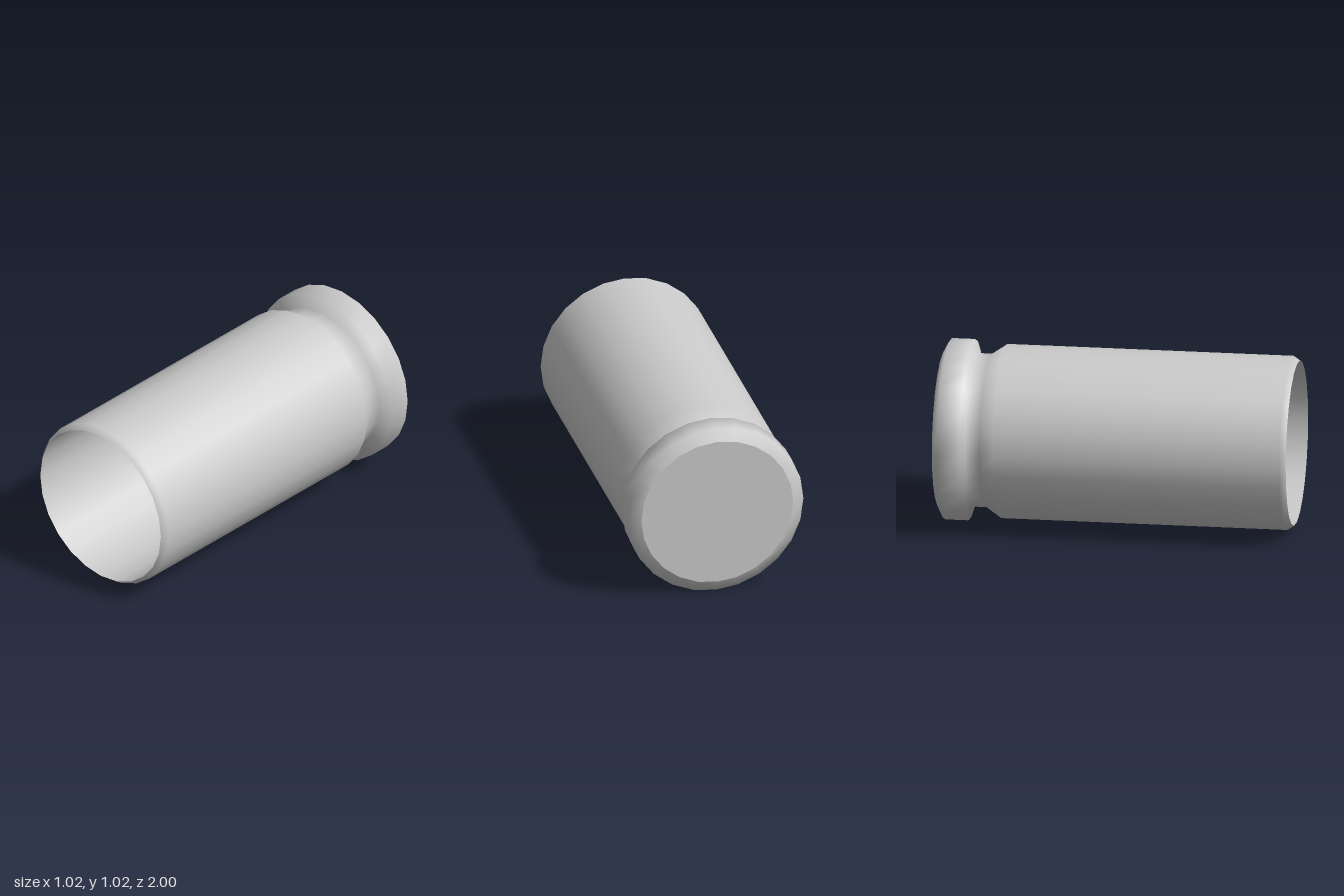
import * as THREE from 'three';

const SIDES = 24;
const RIM = 0.508; // largest radius, rests on the ground

// Revolve [radius, z] points around the z axis
function turned(name, profile) {
  const points = profile.map(([r, z]) => new THREE.Vector2(r, z));
  const geometry = new THREE.LatheGeometry(points, SIDES);
  geometry.rotateX(Math.PI / 2);
  const material = new THREE.MeshStandardMaterial({ color: 0xcccccc });
  const mesh = new THREE.Mesh(geometry, material);
  mesh.name = name;
  mesh.position.y = RIM;
  return mesh;
}

export function createModel() {
  const group = new THREE.Group();
  group.name = 'casing';

  // Flat base at the back
  group.add(turned('base', [[0, -1], [0.44, -1]]));

  // Rim, groove, shoulder, long body and chamfered mouth
  group.add(turned('outerShell', [
    [0.44, -1], [RIM, -0.965], [RIM, -0.835],
    [0.43, -0.815], [0.43, -0.735],
    [0.488, -0.65], [0.488, 0.965], [0.463, 1],
  ]));

  // Hollow inside, open at the front
  group.add(turned('innerWall', [[0.463, 1], [0.463, -0.65]]));
  group.add(turned('innerFloor', [[0.463, -0.65], [0, -0.65]]));

  return group;
}
